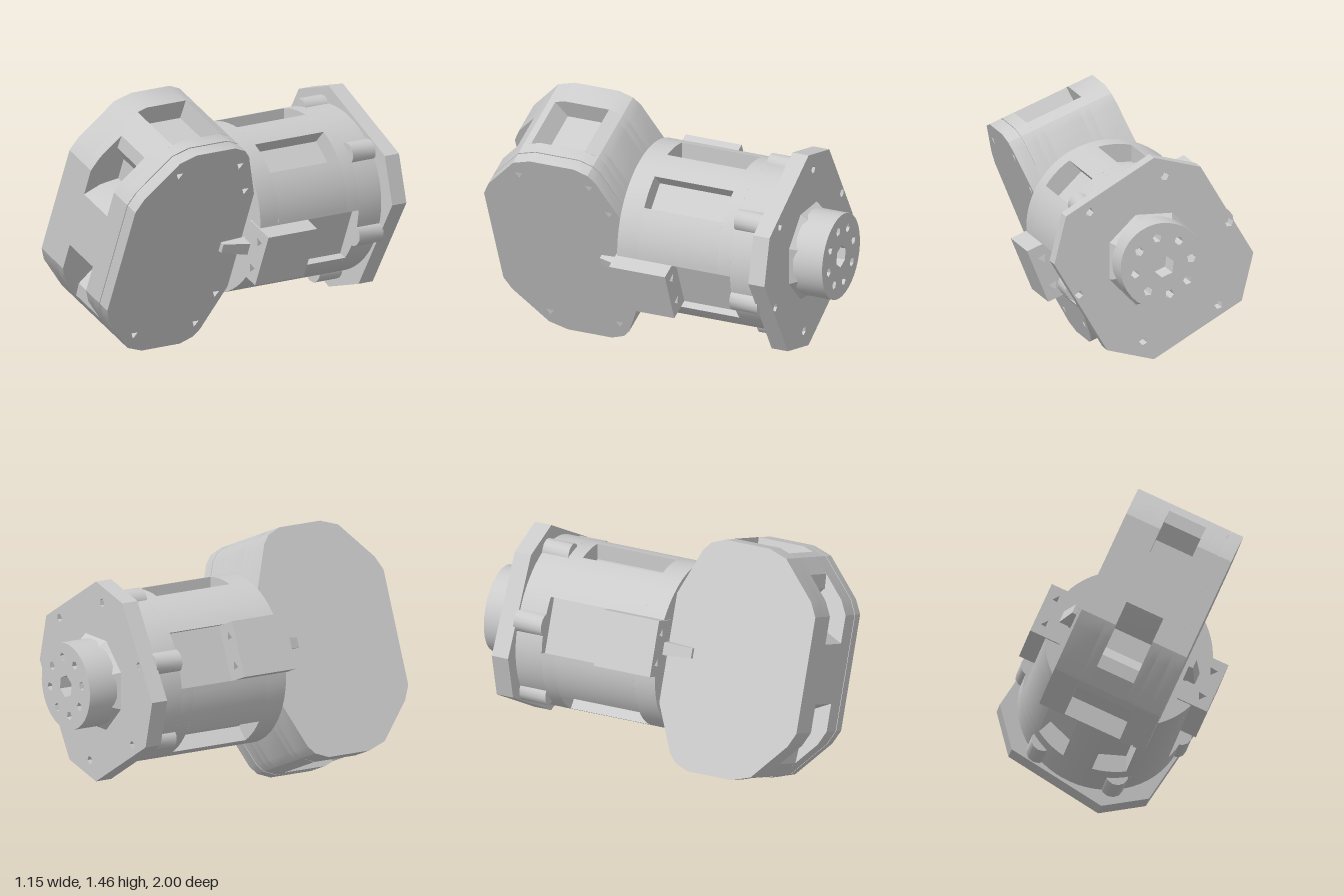
import * as THREE from 'three';
import { toCreasedNormals } from 'three/addons/utils/BufferGeometryUtils.js';

const material = new THREE.MeshStandardMaterial({ color: 0xcccccc });
const RAD = Math.PI / 180;

// Polygonal hole of n sides
function hole(x, y, r, n, turn = 0) {
  const p = new THREE.Path();
  for (let i = 0; i < n; i++) {
    const a = turn + (i / n) * Math.PI * 2;
    const px = x + r * Math.cos(a), py = y + r * Math.sin(a);
    if (i) p.lineTo(px, py); else p.moveTo(px, py);
  }
  p.closePath();
  return p;
}

const polygon = (pts) => new THREE.Shape(pts.map(([x, y]) => new THREE.Vector2(x, y)));

// Extrude a shape between two depths
function slab(shape, from, to, curveSegments = 6) {
  const g = new THREE.ExtrudeGeometry(shape, { depth: to - from, bevelEnabled: false, curveSegments });
  return g.translate(0, 0, from);
}

function add(parent, name, geometry, crease = 0.4) {
  const m = new THREE.Mesh(toCreasedNormals(geometry, crease), material);
  m.name = name;
  parent.add(m);
  return m;
}

// Side outline of the housing, with optional pockets in the ends and the front corners
function housingShape(endPocket, frontPocket, inset = 0) {
  const front = frontPocket
    ? [[1, 0.17], [0.9, 0.22], [0.78, 0.24], [0.78, 0.37], [0.85, 0.456], [0.845, 0.537]]
    : [[1, 0.33], [0.96, 0.41]];
  const end = endPocket
    ? [[0.72, 0.637], [0.66, 0.54], [0.39, 0.54], [0.385, 0.657]]
    : [[0.66, 0.657], [0.39, 0.657]];
  const half = [...front, [0.77, 0.62], ...end, [0.31, 0.625], [0.27, 0.58], [0.15, 0.3]];
  const mirrored = half.map(([z, y]) => [z, -y]).reverse();
  const k = 1 - inset;
  return polygon([...half, ...mirrored].map(([z, y]) => [-(0.575 + (z - 0.575) * k), y * k]));
}

// Round body section with flat-floored notches: [angle, half width, floor distance]
function bodyShape(R, notches) {
  const s = new THREE.Shape();
  if (!notches.length) return s.absarc(0, 0, R, 0, Math.PI * 2, false);
  notches.forEach(([deg, w, d], i) => {
    const a = deg * RAD, c = Math.cos(a), n = Math.sin(a);
    const rim = Math.sqrt(R * R - w * w);
    [[rim, -w], [d, -w], [d, w], [rim, w]].forEach(([x, y], j) => {
      const px = x * c - y * n, py = x * n + y * c;
      if (i + j) s.lineTo(px, py); else s.moveTo(px, py);
    });
    const next = notches[(i + 1) % notches.length];
    const wrap = i === notches.length - 1 ? 360 : 0;
    s.absarc(0, 0, R, a + Math.asin(w / R), (next[0] + wrap) * RAD - Math.asin(next[1] / R), false);
  });
  return s;
}

export function createModel() {
  const model = new THREE.Group();
  model.name = 'actuator';
  const tilted = new THREE.Group();
  tilted.name = 'tiltedAssembly';
  tilted.rotation.z = -22.5 * RAD;
  tilted.position.y = 0.735;
  model.add(tilted);

  // Front housing, in layers across its width
  const housing = new THREE.Group();
  housing.name = 'housing';
  tilted.add(housing);
  const layers = [
    [-0.322, -0.17, false, false], [-0.17, -0.113, true, false], [-0.113, 0.113, true, true],
    [0.113, 0.17, true, false], [0.17, 0.243, false, false],
  ];
  for (const [from, to, end, front] of layers) {
    add(housing, 'housingLayer', slab(housingShape(end, front), from, to).rotateY(Math.PI / 2));
  }
  add(housing, 'seam', slab(housingShape(false, false, 0.01), 0.24, 0.255).rotateY(Math.PI / 2));

  // Cover plate with screw holes
  const cover = housingShape(false, false);
  for (const s of [-1, 1]) {
    for (const [z, y] of [[0.75, 0.535], [0.32, 0.53], [0.23, 0.346]]) {
      cover.holes.push(hole(-z, s * y, 0.026, 3, 0.5));
    }
  }
  add(housing, 'coverPlate', slab(cover, 0.25, 0.322).rotateY(Math.PI / 2));

  // Motor body with side recesses and long cooling slots
  const body = new THREE.Group();
  body.name = 'motorBody';
  tilted.add(body);
  const side = (a) => [a, 0.16, 0.4], slot = (a) => [a, 0.097, 0.37];
  const sides = [side(0), side(180)];
  const all = [side(0), slot(67.5), slot(112.5), side(180), slot(247.5), slot(292.5)];
  add(body, 'bodyRear', slab(bodyShape(0.475, []), -0.71, -0.54, 32));
  add(body, 'bodyRecessed', slab(bodyShape(0.475, sides), -0.54, -0.46, 14));
  add(body, 'bodySlotted', slab(bodyShape(0.475, all), -0.46, 0.025, 5));
  add(body, 'bodyFront', slab(bodyShape(0.475, sides), 0.025, 0.155, 14));

  // Screw lugs in front of the flange
  for (let i = 0; i < 6; i++) {
    const a = i * 60 * RAD;
    const lug = new THREE.CylinderGeometry(0.065, 0.065, 0.17, 12).rotateX(Math.PI / 2);
    add(body, 'screwLug', lug.translate(0.455 * Math.cos(a), 0.455 * Math.sin(a), -0.625), 0.6);
  }

  // Connector blocks and their tapered pegs, one on each side
  for (const s of [0, 1]) {
    const connector = new THREE.Group();
    connector.name = s ? 'rightConnector' : 'leftConnector';
    connector.rotation.z = s * Math.PI;
    tilted.add(connector);
    const block = polygon([[0.36, -0.16], [0.542, -0.16], [0.542, 0.16], [0.36, 0.16]]);
    for (const y of [-0.085, 0.085]) block.holes.push(hole(0.477, y, 0.028, 3, 0.4));
    add(connector, 'connectorBlock', slab(block, -0.18, 0.165));
    const peg = new THREE.BoxGeometry(0.075, 0.076, 0.17).translate(0.3825, 0, 0.235);
    const p = peg.attributes.position;
    for (let i = 0; i < p.count; i++) {
      if (p.getZ(i) > 0.3) {
        p.setY(i, p.getY(i) * 0.75);
        if (p.getX(i) > 0.4) p.setX(i, 0.37);
      }
    }
    add(connector, 'peg', peg, 0.1);
  }

  // Eight-sided mounting flange with alternating long and short edges
  const corners = [];
  for (let i = 0; i < 4; i++) {
    for (const d of [22.5, 50.5]) {
      const a = (d + 90 * i) * RAD;
      corners.push([0.575 * Math.cos(a), 0.575 * Math.sin(a)]);
    }
  }
  const flange = polygon(corners);
  for (let i = 0; i < 6; i++) {
    const a = i * 60 * RAD;
    flange.holes.push(hole(0.47 * Math.cos(a), 0.47 * Math.sin(a), 0.025, 5, a));
  }
  add(tilted, 'mountingFlange', slab(flange, -0.8, -0.7));

  // Output hub: stepped collar, then a drilled face
  const collar = new THREE.CylinderGeometry(0.28, 0.245, 0.05, 8).rotateX(Math.PI / 2);
  add(tilted, 'hubCollar', collar.translate(0, 0, -0.82), 0.2);
  const hub = new THREE.Shape().absarc(0, 0, 0.247, 0, Math.PI * 2, false);
  hub.holes.push(hole(0, 0, 0.065, 6));
  for (let i = 0; i < 8; i++) {
    const a = (i * 45 + 10) * RAD;
    hub.holes.push(hole(0.165 * Math.cos(a), 0.165 * Math.sin(a), 0.026, 5, a));
  }
  add(tilted, 'outputHub', slab(hub, -1, -0.82, 18), 0.5);
  return model;
}
